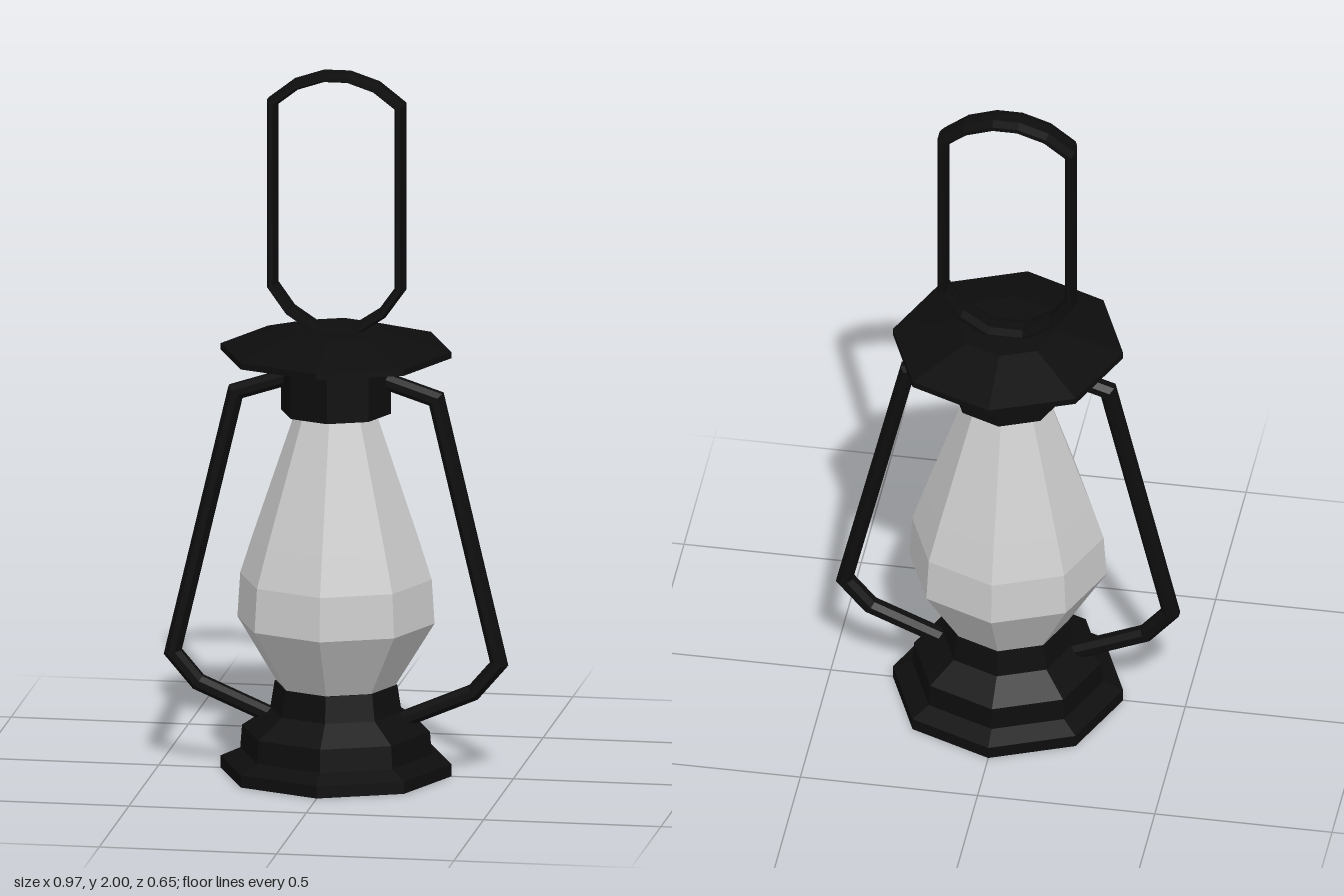
import * as THREE from 'three';

const black = new THREE.MeshStandardMaterial({ color: 0x0d0d0d, flatShading: true, side: THREE.DoubleSide });
const grey = new THREE.MeshStandardMaterial({ color: 0xcccccc, flatShading: true, side: THREE.DoubleSide });

// Eight-sided turned part from [radius, height] pairs, listed bottom to top
function turned(name, profile, material) {
  const points = profile.map(([r, y]) => new THREE.Vector2(r, y));
  const mesh = new THREE.Mesh(new THREE.LatheGeometry(points, 8), material);
  mesh.name = name;
  return mesh;
}

// Sweeps an eight-sided bar along a polyline in the xy plane with mitred bends.
// a is half the thickness in the plane, b half the depth along z.
function bar(name, path, a, b, closed) {
  const pts = path.map(([x, y]) => new THREE.Vector2(x, y));
  const n = pts.length, sides = 8, k = 1 / Math.cos(Math.PI / sides);
  const positions = [], indices = [];
  pts.forEach((p, i) => {
    const prev = pts[closed ? (i + n - 1) % n : Math.max(i - 1, 0)];
    const next = pts[closed ? (i + 1) % n : Math.min(i + 1, n - 1)];
    const t1 = p.clone().sub(prev).normalize(), t2 = next.clone().sub(p).normalize();
    const t = t1.clone().add(t2).normalize();
    const mitre = 1 / Math.max(t.dot(t1), t.dot(t2));
    for (let j = 0; j < sides; j++) {
      const angle = (j + 0.5) / sides * Math.PI * 2;
      const u = a * k * mitre * Math.cos(angle);
      positions.push(p.x - t.y * u, p.y + t.x * u, b * k * Math.sin(angle));
    }
  });
  for (let i = 0; i < (closed ? n : n - 1); i++) {
    for (let j = 0; j < sides; j++) {
      const r0 = i * sides, r1 = ((i + 1) % n) * sides, j1 = (j + 1) % sides;
      indices.push(r0 + j, r0 + j1, r1 + j1, r0 + j, r1 + j1, r1 + j);
    }
  }
  // End caps of an open bar
  if (!closed) {
    const e = (n - 1) * sides;
    for (let j = 1; j < sides - 1; j++) indices.push(0, j + 1, j, e, e + j, e + j + 1);
  }
  const geometry = new THREE.BufferGeometry();
  geometry.setAttribute('position', new THREE.Float32BufferAttribute(positions, 3));
  geometry.setIndex(indices);
  geometry.computeVertexNormals();
  const mesh = new THREE.Mesh(geometry, black);
  mesh.name = name;
  return mesh;
}

export function createModel() {
  const lantern = new THREE.Group();
  lantern.name = 'lantern';

  // Stepped base, hollow underneath
  lantern.add(turned('base', [
    [0.325, 0], [0.325, 0.035], [0.27, 0.06], [0.265, 0.125], [0.185, 0.18], [0.173, 0.255], [0.16, 0.255],
  ], black));

  // Faceted glass globe
  lantern.add(turned('glass', [
    [0, 0.25], [0.165, 0.25], [0.278, 0.435], [0.27, 0.56], [0.235, 0.67], [0.11, 1.04],
  ], grey));

  // Collar above the glass
  lantern.add(turned('collar', [
    [0, 1.03], [0.155, 1.03], [0.155, 1.2],
  ], black));

  // Wide cap
  lantern.add(turned('cap', [
    [0, 1.195], [0.325, 1.195], [0.325, 1.213], [0.14, 1.265], [0, 1.265],
  ], black));

  // Bent frame bars on both sides
  const frame = [[0.12, 1.13], [0.283, 1.077], [0.46, 0.327], [0.388, 0.243], [0.17, 0.15]];
  ['leftFrameBar', 'rightFrameBar'].forEach((name, i) => {
    const side = bar(name, frame, 0.022, 0.027, false);
    side.rotation.y = i * Math.PI;
    lantern.add(side);
  });

  // Flat strap carrying handle, mirrored from its right half
  const half = [[0.05, 1.262], [0.13, 1.315], [0.18, 1.385], [0.18, 1.908], [0.113, 1.96], [0.035, 1.986]];
  const loop = half.concat(half.map(([x, y]) => [-x, y]).reverse());
  const handle = bar('handle', loop, 0.014, 0.041, true);
  handle.position.z = -0.01;
  lantern.add(handle);

  return lantern;
}
